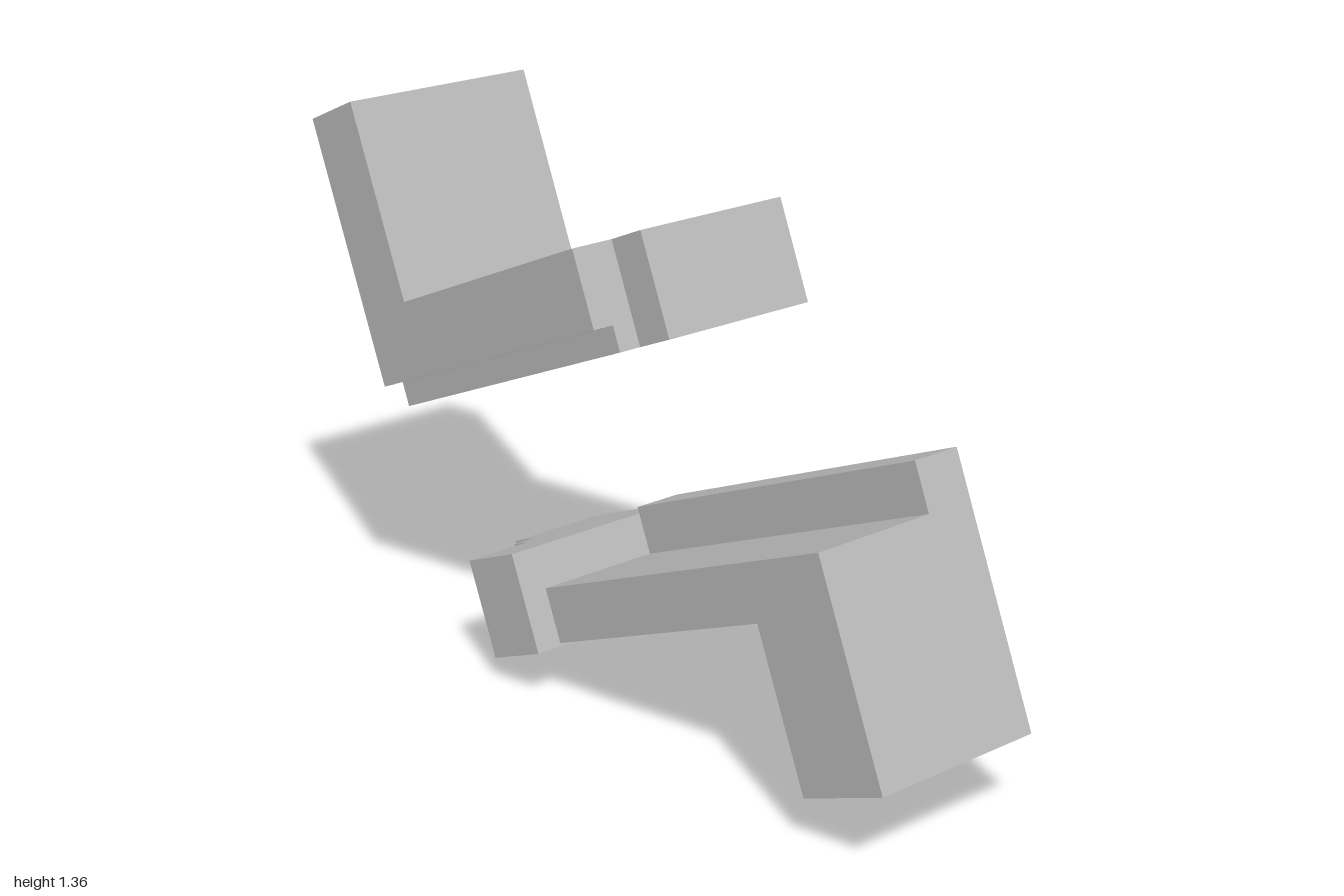
import * as THREE from 'three';

const TILT = THREE.MathUtils.degToRad(24);
const BACK = -0.259;

// Prism from a 2D outline, extruded along z between z0 and z1
function prism(points, z0, z1) {
  const shape = new THREE.Shape(points.map(([x, y]) => new THREE.Vector2(x, y)));
  return new THREE.ExtrudeGeometry(shape, { depth: z1 - z0, bevelEnabled: false }).translate(0, 0, z0);
}

export function createModel() {
  const model = new THREE.Group();
  const tilted = new THREE.Group();
  tilted.name = 'tiltedBlocks';
  tilted.rotation.z = TILT;
  model.add(tilted);

  const grey = new THREE.MeshStandardMaterial({ color: 0xb8b8b8 });
  grey.name = 'light grey';

  const add = (name, geometry) => {
    const mesh = new THREE.Mesh(geometry, grey);
    mesh.name = name;
    tilted.add(mesh);
  };

  // Upper L block: arm of given length, resting on a given underside
  const upperL = (end, bottom) => [
    [-0.392, bottom], [end, bottom], [end, 1.077], [-0.2, 1.077], [-0.2, 1.575], [-0.392, 1.575],
  ];
  add('upperBlockMain', prism(upperL(0.645, 0.83), BACK, 0.149));
  add('upperBlockMiddleStep', prism(upperL(0.534, 0.83), 0.149, 0.206));
  add('upperBlockFrontStep', prism(upperL(0.534, 0.892), 0.206, 0.259));

  // Lower L block: high ridge at the back, lower shelf in front
  const lowerL = (top) => [
    [-0.032, 0.192], [0.741, 0.192], [0.741, -0.2], [1.005, -0.2], [1.005, top], [-0.032, top],
  ];
  add('lowerBlockRidge', prism(lowerL(0.447), BACK, -0.133));
  add('lowerBlockShelf', prism(lowerL(0.328), -0.133, 0.188));

  // Small end block: stepped plan outline (x, -z), extruded upwards
  const plan = [
    [-0.061, 0.259], [-0.406, 0.259], [-0.406, 0.004], [-0.322, 0.004],
    [-0.322, -0.056], [-0.255, -0.056], [-0.255, -0.237], [-0.061, -0.237],
  ];
  add('steppedEndBlock', prism(plan, 0.181, 0.428).rotateX(-Math.PI / 2));

  return model;
}
